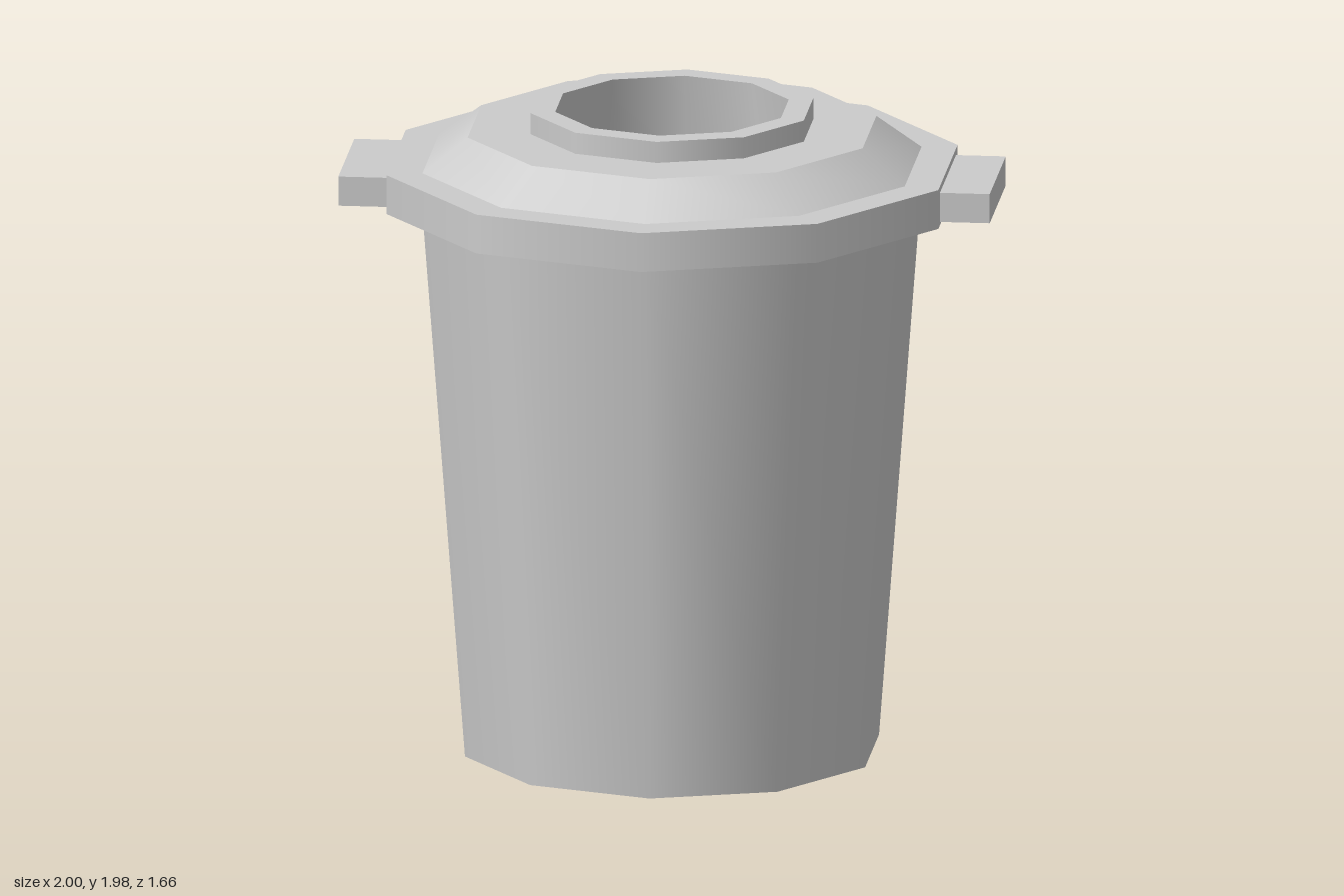
import * as THREE from 'three';

const SIDES = 10;
const material = new THREE.MeshStandardMaterial({ color: 0xcccccc });

// Decagonal band between two [radius, height] points: smooth around, creased at its rims
function band(name, a, b) {
  const points = [new THREE.Vector2(...a), new THREE.Vector2(...b)];
  const mesh = new THREE.Mesh(new THREE.LatheGeometry(points, SIDES, Math.PI / 2), material);
  mesh.name = name;
  return mesh;
}

// Grip block lying against one flat of the rim
function handle(name, turn) {
  const group = new THREE.Group();
  group.name = name;
  const block = new THREE.Mesh(new THREE.BoxGeometry(0.16, 0.09, 0.45), material);
  block.position.set(0.9, 1.745, 0);
  group.add(block);
  group.rotation.y = turn;
  return group;
}

export function createModel() {
  const model = new THREE.Group();
  model.name = 'bin';

  // Closed profile: up the outside, over the lid, back down through the opening
  const profile = [
    [0.633, 0, 'body'],
    [0.763, 1.69, 'rimUnderside'],
    [0.873, 1.69, 'rimSide'],
    [0.873, 1.81, 'rimTop'],
    [0.763, 1.81, 'lidSlope'],
    [0.625, 1.913, 'lidTop'],
    [0.432, 1.913, 'collarSide'],
    [0.432, 1.978, 'collarTop'],
    [0.357, 1.978, 'innerWall'],
  ];
  profile.forEach(([r, y, name], i) => {
    const [r2, y2] = profile[(i + 1) % profile.length];
    model.add(band(name, [r, y], [r2, y2]));
  });

  // Two opposite handles, centred on flats of the decagon
  const flat = -Math.PI / SIDES;
  model.add(handle('leftHandle', flat), handle('rightHandle', flat + Math.PI));
  return model;
}
